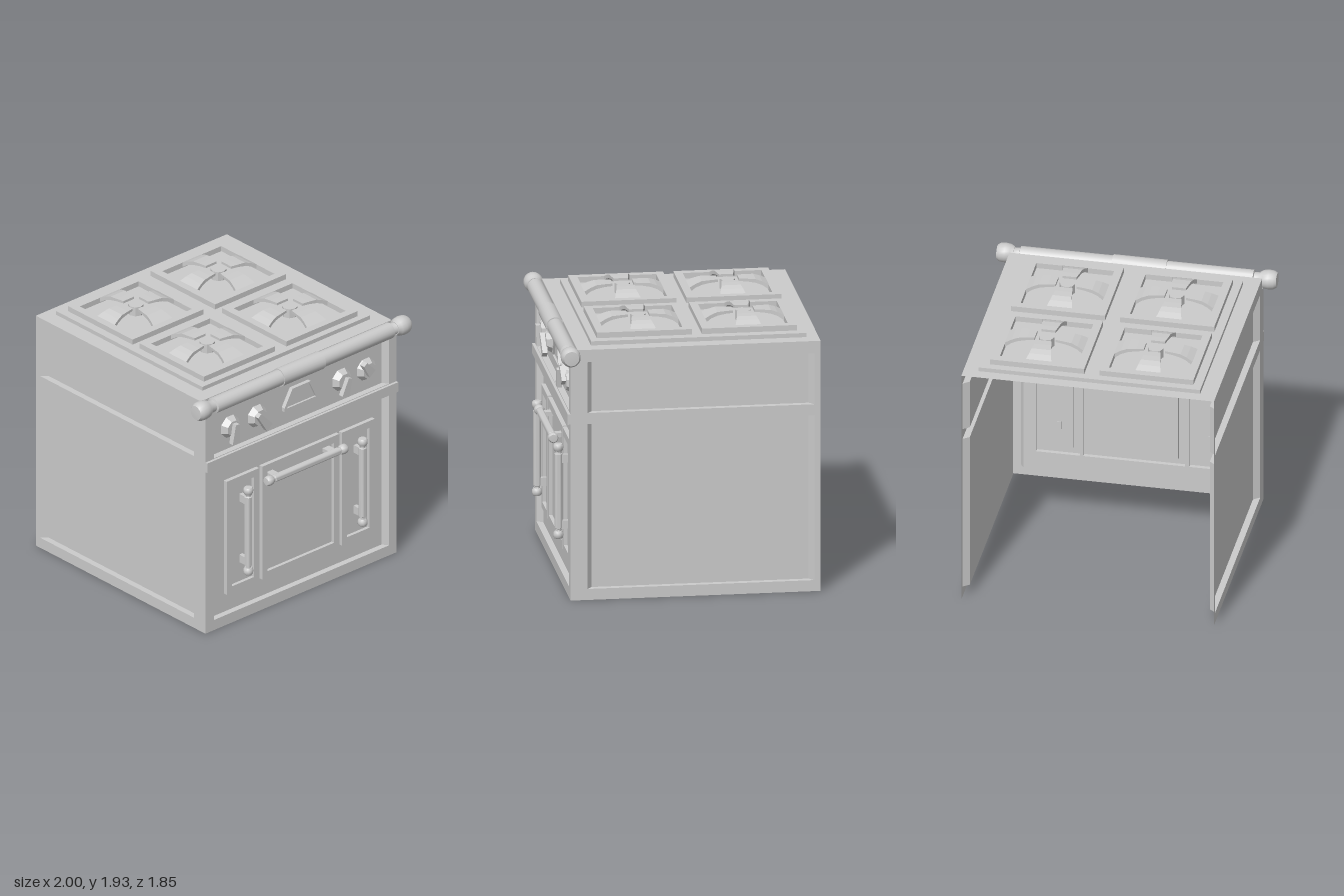
import * as THREE from 'three';
import { toCreasedNormals } from 'three/addons/utils/BufferGeometryUtils.js';

const mat = new THREE.MeshStandardMaterial({ color: 0xcccccc, side: THREE.DoubleSide });
const flat = new THREE.MeshStandardMaterial({ color: 0xcccccc, side: THREE.DoubleSide, flatShading: true });

function add(parent, name, geo, x = 0, y = 0, z = 0, material = mat) {
  const mesh = new THREE.Mesh(geo, material);
  mesh.name = name;
  mesh.position.set(x, y, z);
  parent.add(mesh);
  return mesh;
}

const corners = ([x0, y0, x1, y1]) => [[x0, y0], [x1, y0], [x1, y1], [x0, y1]];
const toPoints = (list) => list.map(([x, y]) => new THREE.Vector2(x, y));

// Quad strips joining closed loops of 3D points, optionally capped (four-corner loops)
function loft(loops, capped = false) {
  const n = loops[0].length, index = [];
  for (let i = 0; i < loops.length - 1; i++)
    for (let j = 0; j < n; j++) {
      const a = i * n + j, b = i * n + (j + 1) % n;
      index.push(a, b, b + n, a, b + n, a + n);
    }
  if (capped) {
    const e = (loops.length - 1) * n;
    index.push(0, 2, 1, 0, 3, 2, e, e + 1, e + 2, e, e + 2, e + 3);
  }
  const geo = new THREE.BufferGeometry();
  geo.setAttribute('position', new THREE.Float32BufferAttribute(loops.flat(2), 3));
  geo.setIndex(index);
  geo.computeVertexNormals();
  return geo;
}

// Sheet with stepped pockets: each pocket has a rect, a step dz, a side slant and its own pockets
function sheet(parent, name, outline, z, pockets = []) {
  const shape = new THREE.Shape(toPoints(outline));
  for (const p of pockets) {
    const outer = corners(p.rect), s = p.slant || 0;
    const [x0, y0, x1, y1] = p.rect;
    const inner = corners([x0 + s, y0, x1 - s, y1]);
    shape.holes.push(new THREE.Path(toPoints(outer)));
    add(parent, p.name + 'Edge', loft([outer.map((c) => [...c, z]), inner.map((c) => [...c, z + p.dz])]), 0, 0, 0, flat);
    sheet(parent, p.name, inner, z + p.dz, p.pockets);
  }
  add(parent, name, new THREE.ShapeGeometry(shape), 0, 0, z);
}

// Round bar along y with a neck and a rounded knob at each end
function bar(half, rod, knob, knobLen, neckLen) {
  const k = half - knobLen, neck = rod * 0.75;
  const side = [[0, half], [knob * 0.75, half - knobLen * 0.03], [knob * 0.95, half - knobLen * 0.2], [knob, half - knobLen * 0.5],
    [knob * 0.92, half - knobLen * 0.8], [knob * 0.7, k], [neck, k], [neck, k - neckLen], [rod, k - neckLen - 0.005]];
  const profile = [...side.map(([r, y]) => [r, -y]), ...side.slice().reverse()];
  return toCreasedNormals(new THREE.LatheGeometry(toPoints(profile), 20), 0.7);
}

// Four tapered arms around a cap, inside a square rim
function burner(x, z) {
  const g = new THREE.Group();
  g.name = 'burner';
  const rim = new THREE.Shape(toPoints(corners([-0.335, -0.335, 0.335, 0.335])));
  rim.holes.push(new THREE.Path(toPoints(corners([-0.277, -0.277, 0.277, 0.277]))));
  const rimGeo = new THREE.ExtrudeGeometry(rim, { depth: 0.04, bevelEnabled: false }).rotateX(-Math.PI / 2);
  add(g, 'burnerRim', rimGeo, 0, 1.85, 0);
  // distance from centre, top, underside, half width
  const sections = [[0.28, 1.89, 1.855, 0.09], [0.235, 1.912, 1.885, 0.078], [0.19, 1.927, 1.9, 0.068], [0.13, 1.93, 1.91, 0.06], [0.075, 1.93, 1.912, 0.05]];
  const arm = loft(sections.map(([d, t, b, w]) => [[-w, b, d], [w, b, d], [w, t, d], [-w, t, d]]), true);
  for (let i = 0; i < 4; i++) add(g, 'grateArm', arm, 0, 0, 0, flat).rotation.y = i * Math.PI / 2;
  add(g, 'burnerCap', new THREE.CylinderGeometry(0.055, 0.055, 0.11, 8), 0, 1.865, 0, flat);
  g.position.set(x, 0, z);
  return g;
}

export function createModel() {
  const model = new THREE.Group();
  model.name = 'stove';

  // Front wall with the control recess and three stepped doors
  const front = new THREE.Group();
  front.name = 'frontWall';
  model.add(front);
  const doors = [[-0.685, -0.38], [-0.35, 0.375], [0.40, 0.71]].map(([a, b]) => ({
    name: 'doorFrame', rect: [a, 0.225, b, 1.12], dz: 0.03,
    pockets: [{ name: 'doorPanel', rect: [a + 0.05, 0.275, b - 0.05, 1.065], dz: -0.025 }],
  }));
  sheet(front, 'frontFrame', corners([-0.9, 0, 0.9, 1.735]), 0.84, [
    { name: 'lowerFront', rect: [-0.82, 0.08, 0.83, 1.28], dz: -0.045, slant: 0.03, pockets: doors },
    { name: 'controlPanel', rect: [-0.82, 1.36, 0.83, 1.725], dz: -0.045, slant: 0.03 },
  ]);
  add(model, 'frontBand', new THREE.BoxGeometry(1.8, 0.075, 0.03), 0, 1.318, 0.845);
  add(model, 'frontLedge', new THREE.BoxGeometry(1.8, 0.01, 0.09), 0, 1.73, 0.795);
  add(model, 'frontRiser', new THREE.BoxGeometry(1.8, 0.085, 0.01), 0, 1.7775, 0.785);

  // Mirrored side walls, notched at the top front for the rail
  for (const s of [1, -1]) {
    const half = new THREE.Group(), wall = new THREE.Group();
    wall.name = 'sideWall';
    half.name = s > 0 ? 'leftSide' : 'rightSide';
    wall.rotation.y = Math.PI / 2;
    const outline = [[-0.84, 0], [0.925, 0], [0.925, 1.82], [-0.79, 1.82], [-0.79, 1.735], [-0.84, 1.735]];
    sheet(wall, 'sideFrame', outline, 0.9, [
      { name: 'lowerSide', rect: [-0.72, 0.08, 0.88, 1.28], dz: -0.045, slant: 0.035 },
      { name: 'upperSide', rect: [-0.72, 1.36, 0.88, 1.73], dz: -0.045, slant: 0.035 },
    ]);
    half.add(wall);
    half.scale.x = s;
    model.add(half);
  }

  // Cooktop with a raised plate and four burners
  const top = new THREE.Group();
  top.name = 'cooktop';
  top.rotation.x = -Math.PI / 2;
  sheet(top, 'topSheet', corners([-0.9, -0.79, 0.9, 0.925]), 1.82, [
    { name: 'topPlate', rect: [-0.785, -0.68, 0.795, 0.84], dz: 0.03 },
  ]);
  model.add(top);
  for (const x of [-0.39, 0.388]) for (const z of [-0.447, 0.295]) model.add(burner(x, z));

  // Towel rail across the top front
  const rail = new THREE.Group();
  rail.name = 'topRail';
  rail.position.set(0, 1.785, 0.845);
  rail.rotation.z = Math.PI / 2;
  add(rail, 'railBar', bar(1, 0.058, 0.07, 0.125, 0.04));
  add(rail, 'railSleeve', toCreasedNormals(new THREE.CylinderGeometry(0.066, 0.066, 0.385, 20), 0.7), 0, 0.02, 0);
  model.add(rail);

  // Door handles on small brackets
  for (const x of [-0.53, 0.548]) {
    add(model, 'sideDoorHandle', bar(0.345, 0.028, 0.036, 0.055, 0.015), x, 0.7, 0.877);
    for (const y of [0.455, 0.935]) add(model, 'handleBracket', new THREE.BoxGeometry(0.03, 0.06, 0.08), x, y, 0.835);
  }
  add(model, 'ovenDoorHandle', bar(0.378, 0.028, 0.037, 0.06, 0.012), 0.006, 1.032, 0.887).rotation.z = Math.PI / 2;
  for (const x of [-0.26, 0.27]) add(model, 'handleBracket', new THREE.BoxGeometry(0.06, 0.03, 0.09), x, 1.03, 0.84);

  // Control knobs: position, then lever start and end offsets
  const knobs = [[-0.63, 1.53, 0.005, 0.04, -0.005, -0.11], [-0.378, 1.523, -0.04, 0.04, 0.06, -0.085],
    [0.418, 1.525, 0.02, 0.03, -0.02, -0.1], [0.65, 1.525, -0.07, 0.085, 0.0, -0.01]];
  for (const [x, y, ax, ay, bx, by] of knobs) {
    const g = new THREE.Group();
    g.name = 'controlKnob';
    g.position.set(x, y, 0);
    const dial = new THREE.CylinderGeometry(0.06, 0.088, 0.045, 8).rotateY(Math.PI / 8).rotateX(Math.PI / 2);
    add(g, 'knobDial', dial, 0, 0, 0.817, flat);
    const len = Math.hypot(bx - ax, by - ay);
    const sections = [[0, 0.018, 0.022], [len, 0.034, 0.018]];
    const lever = loft(sections.map(([d, w, h]) => [[-w, -d, -h], [w, -d, -h], [w, -d, h], [-w, -d, h]]), true);
    add(g, 'knobLever', lever, ax, ay, 0.852, flat).rotation.z = Math.atan2(bx - ax, ay - by);
    model.add(g);
  }

  // Trapezoid gauge with a rim and a sunken face
  const rim = new THREE.Shape(toPoints([[-0.14, 1.475], [0.18, 1.475], [0.18, 1.505], [0.108, 1.635], [-0.065, 1.635], [-0.14, 1.505]]));
  const face = toPoints([[-0.115, 1.497], [0.157, 1.497], [0.098, 1.62], [-0.055, 1.62]]);
  rim.holes.push(new THREE.Path(face));
  add(model, 'gaugeRim', new THREE.ExtrudeGeometry(rim, { depth: 0.03, bevelEnabled: false }), 0, 0, 0.795);
  add(model, 'gaugeFace', new THREE.ShapeGeometry(new THREE.Shape(face)), 0, 0, 0.81);

  return model;
}
